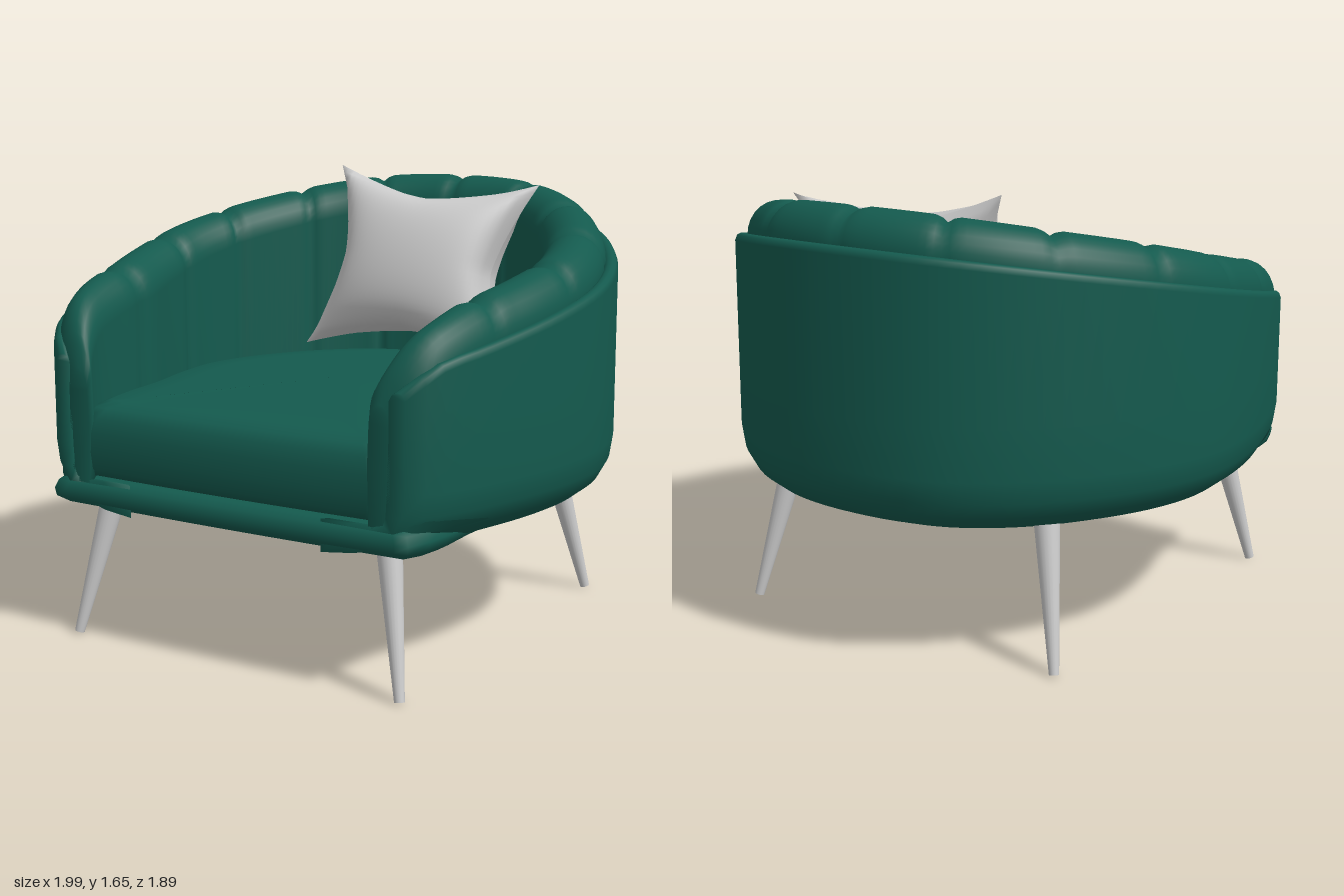
import * as THREE from 'three';
import { mergeGeometries } from 'three/addons/utils/BufferGeometryUtils.js';

const fabric = new THREE.MeshStandardMaterial({ color: 0x145a4e, side: THREE.DoubleSide });
const grey = new THREE.MeshStandardMaterial({ color: 0xcccccc });
const { lerp, smoothstep, clamp } = THREE.MathUtils;

// Plan outline: from the left arm's front, round the back, to the right arm's front
const half = [[0.72, 0.925], [0.78, 0.87], [0.85, 0.74], [0.92, 0.53], [0.97, 0.32], [0.995, 0.08],
  [0.98, -0.08], [0.925, -0.27], [0.83, -0.46], [0.7, -0.64], [0.55, -0.78], [0.38, -0.88], [0.2, -0.93]];
const plan = new THREE.CatmullRomCurve3([
  ...half.map(([x, z]) => new THREE.Vector3(x, 0, z)),
  new THREE.Vector3(0, 0, -0.945),
  ...half.slice().reverse().map(([x, z]) => new THREE.Vector3(-x, 0, z)),
]);

// Station on the outline: position, inward normal, arm-end weight and rim height
function station(t) {
  const p = plan.getPointAt(t), g = plan.getTangentAt(t);
  const end = smoothstep(p.z, 0.45, 0.9);
  const n = new THREE.Vector3(g.z, 0, -g.x * (1 - end)).normalize();
  const rim = 1.305 - 0.192 * p.z - 0.08 * clamp((p.z - 0.78) / 0.15, 0, 1) ** 2;
  return { t, p, n, end, rim };
}

function geometryFrom(positions, index) {
  const g = new THREE.BufferGeometry();
  g.setAttribute('position', new THREE.Float32BufferAttribute(positions, 3));
  g.setIndex(index);
  g.computeVertexNormals();
  return g;
}

// Sweeps a closed section of [inset, y] points along the outline; its ends are capped
function sweep(count, section) {
  const pos = [], idx = [];
  let n = 0;
  for (let i = 0; i <= count; i++) {
    const s = station(i / count), pts = section(s);
    n = pts.length;
    for (const [d, y] of pts) pos.push(s.p.x + s.n.x * d, y, s.p.z + s.n.z * d);
  }
  for (let i = 0; i < count; i++) for (let j = 0; j < n; j++) {
    const a = i * n + j, b = i * n + (j + 1) % n;
    idx.push(a, a + n, b + n, a, b + n, b);
  }
  for (let j = 0; j < n / 2 - 1; j++) {
    const k = count * n, a = j, b = j + 1, c = n - 2 - j, d = n - 1 - j;
    idx.push(a, b, c, a, c, d, k + a, k + c, k + b, k + a, k + d, k + c);
  }
  return geometryFrom(pos, idx);
}

// Stacks rings of the closed outline; each ring is [inset, y], poles close bottom and top
function slab(inset, front, rings, bottomY, topY) {
  const pos = [], idx = [], around = 72, across = 16, n = around + across;
  for (const [e, y] of rings) {
    const ring = [];
    for (let i = 0; i <= around; i++) {
      const { p, n: dir, end } = station(i / around), d = inset(end) + e;
      const z = p.z + dir.z * d;
      ring.push([p.x + dir.x * d, end > 0.9 ? lerp(z, front - e, (end - 0.9) * 10) : Math.min(z, front - e)]);
    }
    const [x0, z0] = ring[around], [x1] = ring[0];
    for (let i = 1; i < across; i++) ring.push([lerp(x0, x1, i / across), z0 + 0.01 * Math.sin(Math.PI * i / across)]);
    for (const [x, z] of ring) pos.push(x, y, z);
  }
  for (let r = 0; r < rings.length - 1; r++) for (let i = 0; i < n; i++) {
    const a = r * n + i, b = r * n + (i + 1) % n;
    idx.push(a, b, b + n, a, b + n, a + n);
  }
  const bottom = pos.length / 3, last = (rings.length - 1) * n;
  pos.push(0, bottomY, 0.05, 0, topY, 0.05);
  for (let i = 0; i < n; i++) {
    const k = (i + 1) % n;
    idx.push(bottom, k, i, bottom + 1, last + i, last + k);
  }
  return geometryFrom(pos, idx);
}

// Outer shell: rounded underside, upright wall, sloping rim and inner lining
function shellSection({ rim }) {
  return [[0.32, 0.485], [0.2, 0.5], [0.11, 0.53], [0.045, 0.58], [0.012, 0.64], [0, 0.72], [0, 0.9],
    [0, rim - 0.025], [0.008, rim - 0.006], [0.02, rim], [0.035, rim], [0.05, rim - 0.01], [0.06, rim - 0.03],
    [0.06, 0.9], [0.065, 0.72], [0.07, 0.64], [0.08, 0.61], [0.12, 0.6], [0.2, 0.6], [0.32, 0.6]];
}

// Quilted lining: twelve puffed panels that roll over the rim and round off at the arm fronts
const PANELS = 12, STEPS = 14;
function padSection({ t, p, end, rim }) {
  const f = (t * PANELS) % 1, edge = Math.min(f, 1 - f) * 2;
  const tip = Math.min(t, 1 - t) * PANELS;
  const seam = tip < 0.45 ? 0 : 0.022 * Math.max(0, 1 - edge * 3.2) ** 2;
  const round = tip < 0.3 ? 1 - Math.sqrt(1 - (1 - tip / 0.3) ** 2) : 0;
  const u = clamp((p.z - 0.58) / 0.36, 0, 1);
  const base = rim - 0.16 * (1 - Math.sqrt(1 - u * u));
  const width = lerp(0.23, 0.16, end) - seam - 0.08 * round;
  const d0 = lerp(0.045, 0.02, end) + seam * 0.3 + 0.035 * round;
  const height = 0.128 - seam - 0.05 * round;
  const pts = [[d0, 0.59], [d0, 0.8]];
  for (let k = 0; k <= 13; k++) {
    const a = Math.PI * k / 13;
    pts.push([d0 + width / 2 * (1 - Math.cos(a)), base - 0.01 + height * Math.sin(a)]);
  }
  pts.push([d0 + width + 0.005, 0.8], [d0 + width, 0.59]);
  return pts;
}

// Pillow: a puffed square with drawn-out corners
function pillowGeometry() {
  const face = new THREE.PlaneGeometry(2, 2, 28, 28), a = face.attributes.position;
  for (let i = 0; i < a.count; i++) {
    const u = a.getX(i), v = a.getY(i);
    const pinch = (m, o) => 1 - 0.3 * m * m * (1 - Math.abs(o) ** 1.4);
    const puff = Math.sqrt(Math.max(0, (1 - u * u) * (1 - v * v)));
    a.setXYZ(i, 0.435 * u * pinch(u, v), 0.375 * v * pinch(v, u), 0.19 * puff);
  }
  face.computeVertexNormals();
  return mergeGeometries([face, face.clone().rotateY(Math.PI)]);
}

export function createModel() {
  const model = new THREE.Group();
  const add = (name, geometry, material) => {
    const mesh = new THREE.Mesh(geometry, material);
    mesh.name = name;
    model.add(mesh);
    return mesh;
  };

  add('outerShell', sweep(72, shellSection), fabric);
  add('quiltedLining', sweep(PANELS * STEPS, padSection), fabric);

  // Base with a rounded lip along the front
  add('base', slab((end) => lerp(0.15, 0.03, end), 0.94,
    [[0.3, 0.475], [0.12, 0.485], [0.04, 0.5], [0.005, 0.525], [0, 0.555], [0.012, 0.585], [0.04, 0.6], [0.12, 0.605]],
    0.468, 0.605), fabric);

  // Seat cushion
  add('seatCushion', slab((end) => lerp(0.22, 0.145, end), 0.92,
    [[0.1, 0.6], [0.03, 0.61], [0.008, 0.64], [0, 0.7], [0.002, 0.77], [0.015, 0.825], [0.04, 0.86], [0.09, 0.88], [0.2, 0.89]],
    0.6, 0.9), fabric);

  const pillow = add('pillow', pillowGeometry(), grey);
  pillow.position.set(0, 1.265, -0.445);
  pillow.rotation.set(-0.33, 0.095, -0.03);

  // Tapered, splayed legs
  const up = new THREE.Vector3(0, 1, 0);
  for (const [name, z, foot] of [['frontLeg', 0.79, 0.89], ['backLeg', -0.49, -0.59]]) for (const side of [1, -1]) {
    const top = new THREE.Vector3(0.585 * side, 0.515, z), bottom = new THREE.Vector3(0.685 * side, 0.003, foot);
    const axis = top.clone().sub(bottom);
    const leg = add(name, new THREE.CylinderGeometry(0.046, 0.018, axis.length(), 20), grey);
    leg.position.addVectors(top, bottom).multiplyScalar(0.5);
    leg.quaternion.setFromUnitVectors(up, axis.normalize());
  }
  return model;
}
